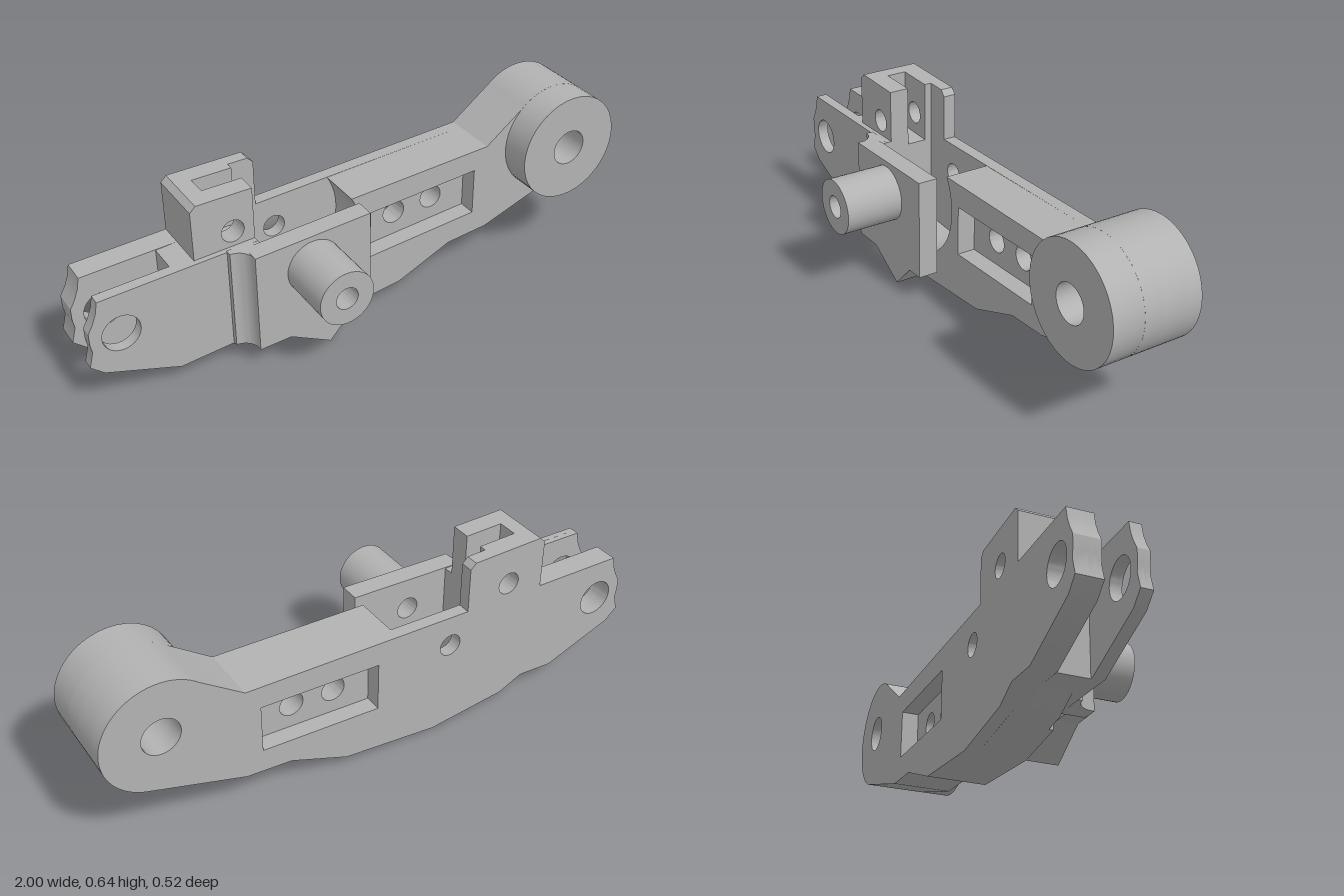
import * as THREE from 'three';
import { toCreasedNormals } from 'three/addons/utils/BufferGeometryUtils.js';

const grey = new THREE.MeshStandardMaterial({ color: 0xb2b2b2 });
grey.name = 'plain grey';

// points along an arc, angles in degrees
function arc(cx, cy, r, a0, a1, n = 32) {
  return Array.from({ length: n + 1 }, (_, i) => {
    const a = THREE.MathUtils.degToRad(a0 + (a1 - a0) * i / n);
    return [cx + r * Math.cos(a), cy + r * Math.sin(a)];
  });
}
const ring = (x, y, r) => arc(x, y, r, 0, 360, 40).slice(0, -1);
const vectors = pts => pts.map(p => new THREE.Vector2(p[0], p[1]));

// side profile with holes, extruded between two z planes
function slab(name, pts, holes, z0, z1) {
  const shape = new THREE.Shape(vectors(pts));
  holes.forEach(h => shape.holes.push(new THREE.Path(vectors(h))));
  const geo = new THREE.ExtrudeGeometry(shape, { depth: z1 - z0, bevelEnabled: false });
  geo.translate(0, 0, z0);
  const mesh = new THREE.Mesh(toCreasedNormals(geo, 0.5), grey);
  mesh.name = name;
  return mesh;
}

// shared holes
const forkHole = ring(-0.885, 0.28, 0.065);
const towerHole = ring(-0.475, 0.5, 0.04);
const shaftHole = ring(-0.245, 0.34, 0.04);
const bossHole = ring(0.8, 0.45, 0.065);
const webHoles = [ring(0.175, 0.3, 0.043), ring(0.33, 0.31, 0.043)];
const windowHole = [[0.04, 0.2], [0.47, 0.23], [0.47, 0.405], [0.04, 0.38]];

// shared outline stretches
const forkEnd = [[-0.95, 0.425], [-0.958, 0.385], [-0.972, 0.35], [-0.99, 0.318],
  [-0.99, 0.275], [-0.985, 0.245], [-1, 0.19], [-0.955, 0.15], [-0.7, 0.06]];
const rootEnd = [[-0.69, 0.432], [-0.69, 0.06]];
const bellyLeft = [[-0.57, 0.07], [-0.48, 0.03]];
const armRight = [[-0.19, 0.003], [0.16, 0.045], [0.37, 0.135], [0.53, 0.15],
  ...arc(0.8, 0.45, 0.197, -71, 132, 48), [0.52, 0.487]];
const towerLeft = [[-0.595, 0.635], [-0.615, 0.615], [-0.615, 0.437]];

// one slice of the left block, with or without fork prong and tower
function leftSlice(z0, z1, fork, tower, front = false) {
  const tops = {
    full: [[-0.4, 0.635], ...towerLeft],
    slotted: [[-0.4, 0.42], [-0.54, 0.42], [-0.54, 0.635], ...towerLeft],
    none: [[-0.4, 0.447]],
  };
  const pts = [...(fork ? forkEnd : rootEnd),
    ...(front ? [[-0.57, 0.07], [-0.4, 0.082]] : [...bellyLeft, [-0.4, 0.022]]),
    ...tops[tower]];
  const holes = [];
  if (fork) holes.push(forkHole);
  if (tower === 'full') holes.push(towerHole);
  return slab('forkBlock', pts, holes, z0, z1);
}

export function createModel() {
  const model = new THREE.Group();
  model.name = 'leverArm';

  // back wall running the full length, with the tower's thin wing
  model.add(slab('backWall',
    [...forkEnd, ...bellyLeft, ...armRight, [-0.31, 0.451], [-0.31, 0.615], [-0.33, 0.635], ...towerLeft],
    [forkHole, towerHole, shaftHole, windowHole, bossHole], -0.26, -0.215));

  // left block: fork prongs either side of a gap, tower with a top slot
  model.add(
    leftSlice(-0.215, -0.19, true, 'full'),
    leftSlice(-0.19, -0.175, true, 'slotted'),
    leftSlice(-0.175, -0.12, false, 'slotted'),
    leftSlice(-0.12, -0.07, false, 'full'),
    leftSlice(-0.07, -0.05, true, 'full', true),
    leftSlice(-0.05, -0.03, true, 'none', true));

  // right arm with the round cavity bite, window recesses and drilled web
  const armPts = [[-0.4, 0.022], ...armRight, [-0.035, 0.462],
    ...arc(-0.245, 0.34, 0.243, 30, -90), [-0.4, 0.1]];
  model.add(
    slab('arm', armPts, [windowHole, bossHole], -0.215, -0.2),
    slab('armWeb', armPts, [...webHoles, bossHole], -0.2, -0.12),
    slab('arm', armPts, [windowHole, bossHole], -0.12, -0.055));

  // thick round boss at the right end
  model.add(slab('boss', ring(0.8, 0.45, 0.197), [bossHole], -0.056, 0.055));

  // front plate with its pointed lower lip
  model.add(slab('frontPlate',
    [[-0.455, 0.08], [-0.34, 0.085], [-0.19, 0.003], [-0.1, 0.1], [-0.03, 0.105], [-0.03, 0.468], [-0.455, 0.447]],
    [shaftHole], -0.015, 0.055));
  model.add(slab('lowerLip', [[-0.34, 0.085], [-0.19, 0.003], [-0.1, 0.1]], [], -0.056, -0.014));

  // concave fillet joining fork block and plate
  const fillet = slab('plateFillet',
    [[-0.4, 0.035], [-0.51, 0.035], ...arc(-0.51, -0.045, 0.055, 90, 0, 10), [-0.4, -0.05]], [], 0.08, 0.446);
  fillet.rotation.x = -Math.PI / 2;
  model.add(fillet);

  // hollow pivot shaft
  model.add(slab('shaft', ring(-0.245, 0.34, 0.098), [shaftHole], 0.05, 0.26));

  return model;
}
